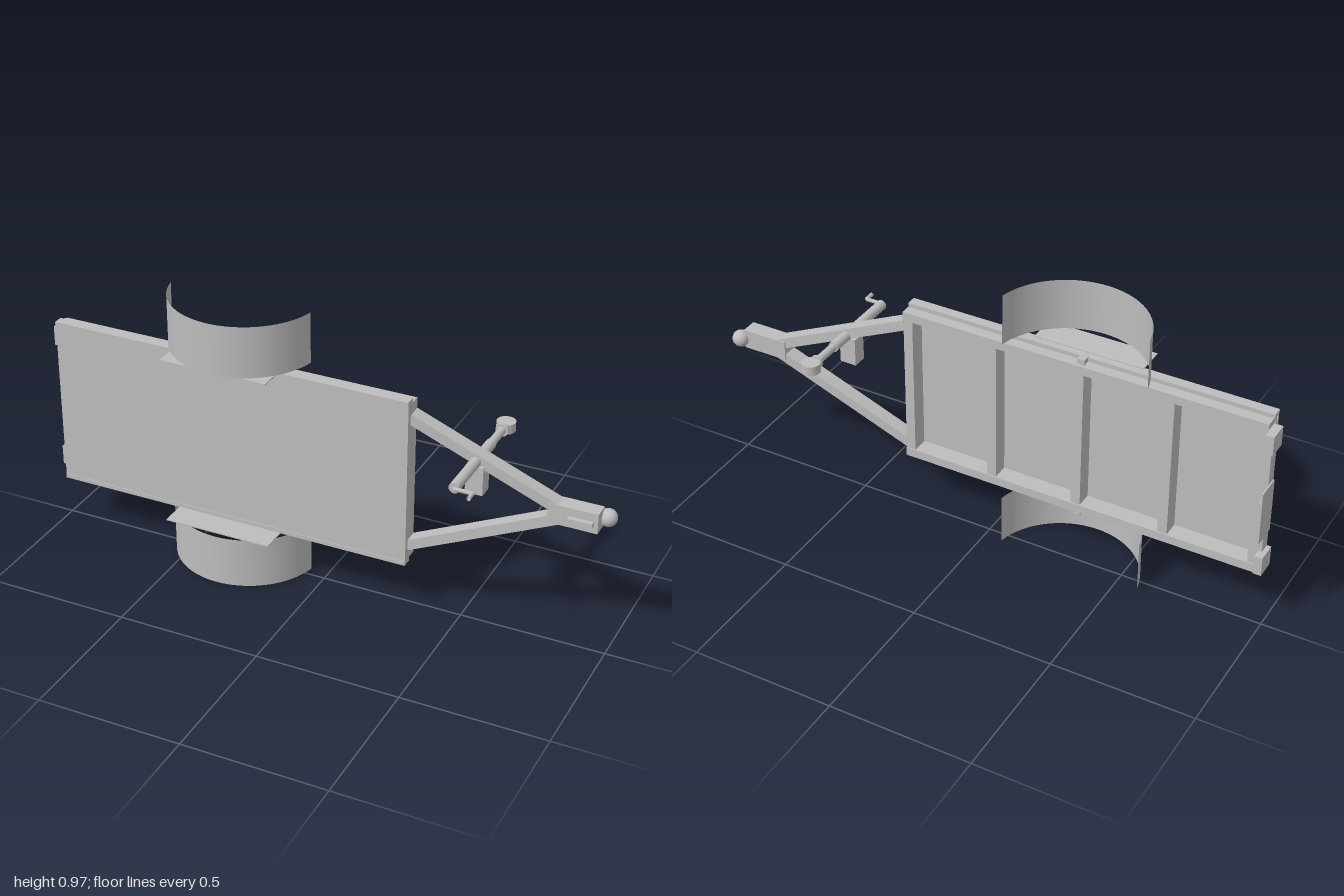
import * as THREE from 'three';

export function createModel() {
  const root = new THREE.Group();
  root.name = 'utilityTrailer';
  const metal = new THREE.MeshStandardMaterial({ color: 0xbdbdbd });
  metal.name = 'grey metal';
  const sheet = new THREE.MeshStandardMaterial({ color: 0xbdbdbd, side: THREE.DoubleSide });
  sheet.name = 'grey sheet metal';

  function add(name, geometry, material = metal) {
    const mesh = new THREE.Mesh(geometry, material);
    mesh.name = name;
    root.add(mesh);
    return mesh;
  }
  // Box given by its extents along each axis
  function box(name, x0, x1, y0, y1, z0, z1) {
    const mesh = add(name, new THREE.BoxGeometry(x1 - x0, y1 - y0, z1 - z0));
    mesh.position.set((x0 + x1) / 2, (y0 + y1) / 2, (z0 + z1) / 2);
    return mesh;
  }
  // Round bar along z
  function barZ(name, x, y, z0, z1, r) {
    const mesh = add(name, new THREE.CylinderGeometry(r, r, z1 - z0, 24));
    mesh.rotation.x = Math.PI / 2;
    mesh.position.set(x, y, (z0 + z1) / 2);
    return mesh;
  }
  // Square bar between two points, its depth kept near the z axis
  function beam(name, a, b, width, depth) {
    const dir = b.clone().sub(a);
    const mesh = add(name, new THREE.BoxGeometry(dir.length(), width, depth));
    const x = dir.normalize();
    const y = new THREE.Vector3(0, 0, 1).cross(x).normalize();
    const z = x.clone().cross(y);
    mesh.quaternion.setFromRotationMatrix(new THREE.Matrix4().makeBasis(x, y, z));
    mesh.position.copy(a).add(b).multiplyScalar(0.5);
    return mesh;
  }

  const midY = 0.488;

  // Deck panels
  box('deckPanelLower', -0.968, 0.325, 0.2, midY, 0.06, 0.067);
  box('deckPanelUpper', -0.968, 0.325, midY, 0.776, 0.06, 0.067);

  // Crossmembers
  for (const x of [0.308, -0.005, -0.32, -0.635, -0.95]) {
    box('crossmember', x - 0.017, x + 0.017, 0.22, 0.756, 0.002, 0.06);
  }

  // Parts mirrored about the middle line
  for (const s of [-1, 1]) {
    const side = (name, x0, x1, d0, d1, z0, z1) => {
      const a = midY + s * d0, b = midY + s * d1;
      return box(name, x0, x1, Math.min(a, b), Math.max(a, b), z0, z1);
    };
    side('sideRail', -0.965, 0.325, 0.257, 0.288, -0.002, 0.06);
    side('sideStrip', -0.968, 0.325, 0.288, 0.303, 0.035, 0.07);
    side('axleStub', -0.335, -0.31, 0.288, 0.307, 0.008, 0.035);
    side('fenderBracket', -0.515, -0.13, 0.302, 0.306, 0.06, 0.16);
    side('tailLight', -0.995, -0.967, 0.198, 0.268, -0.03, 0.04);

    // Open curved fender
    const fender = add('fender', new THREE.CylinderGeometry(
      0.259, 0.259, 0.181, 48, 1, true, -1.396, 2.792), sheet);
    fender.position.set(-0.32, midY + s * 0.3965, -0.08);

    // Drawbar
    beam('drawbar',
      new THREE.Vector3(0.32, midY + s * 0.236, 0.026),
      new THREE.Vector3(0.83, midY + s * 0.012, -0.004), 0.036, 0.05);
  }

  // Rear bar, number plate and its stem
  box('rearBar', -0.98, -0.965, 0.22, 0.756, 0.0, 0.04);
  box('numberPlate', -1, -0.995, 0.392, 0.585, -0.093, -0.005);
  box('plateStem', -0.997, -0.965, midY - 0.01, midY + 0.01, -0.03, 0.005);

  // Coupler
  box('couplerBody', 0.785, 0.952, 0.455, 0.525, -0.032, 0.025);
  box('couplerHandle', 0.855, 0.938, 0.48, 0.496, 0.024, 0.042);
  add('couplerBall', new THREE.SphereGeometry(0.03, 32, 20)).position.set(0.966, midY, -0.033);

  // Jockey wheel jack
  const jx = 0.545, jy = 0.618;
  box('jackMount', 0.515, 0.575, 0.505, 0.605, -0.005, 0.047);
  barZ('jackOuterTube', jx, jy, -0.09, 0.215, 0.018);
  barZ('jackInnerTube', jx, jy, -0.187, -0.09, 0.014);
  barZ('jackCollar', jx, jy, -0.194, -0.183, 0.022);
  add('jockeyWheel', new THREE.CylinderGeometry(0.032, 0.032, 0.033, 32)).position.set(jx, jy, -0.221);

  // Jack crank
  const crank = new THREE.CurvePath();
  const pts = [[jx, 0.205], [jx, 0.219], [0.609, 0.219], [0.609, 0.254]]
    .map(([x, z]) => new THREE.Vector3(x, jy, z));
  for (let i = 0; i < 3; i++) crank.add(new THREE.LineCurve3(pts[i], pts[i + 1]));
  add('jackCrank', new THREE.TubeGeometry(crank, 60, 0.007, 10), sheet);

  return root;
}
